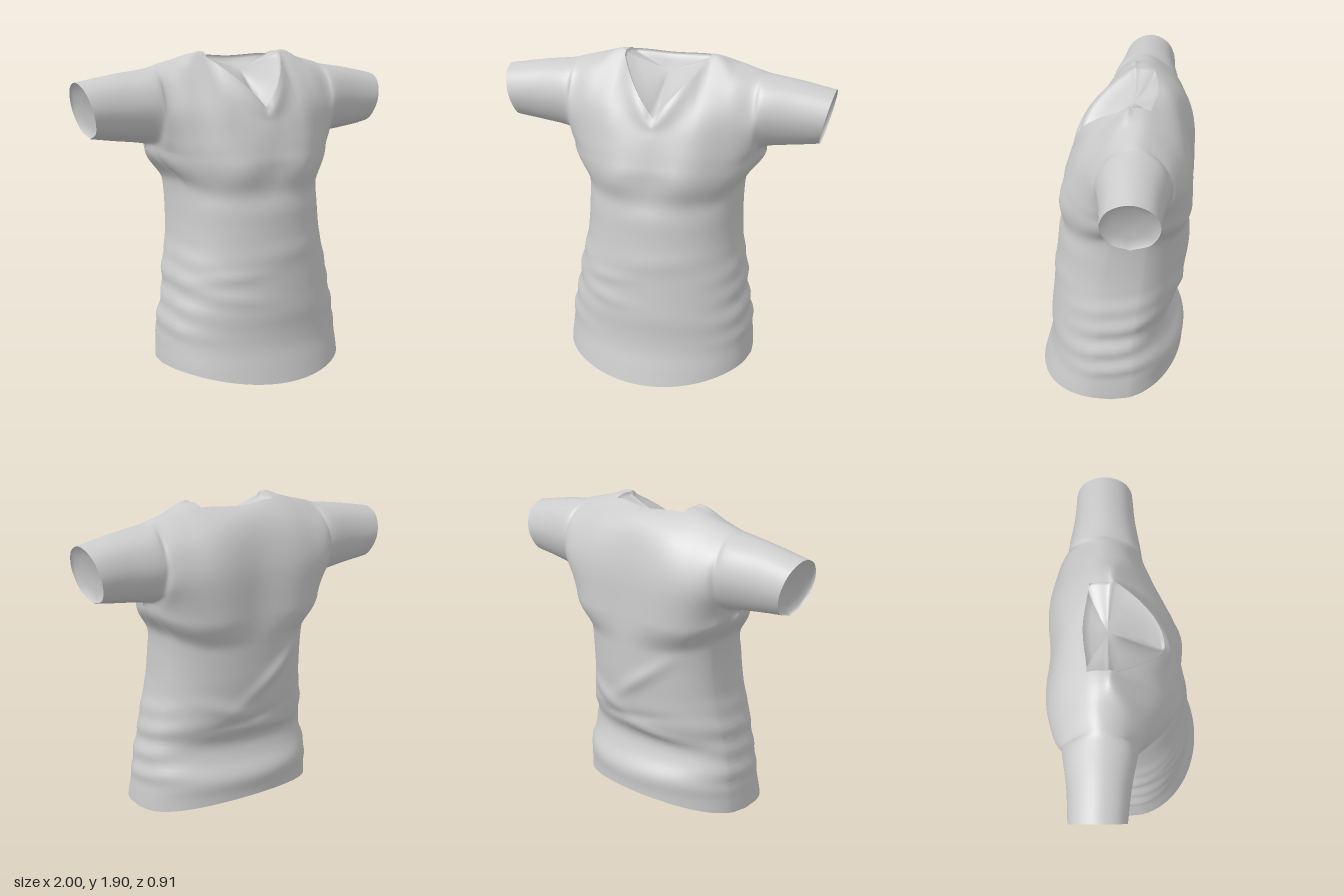
import * as THREE from 'three';
import { mergeVertices } from 'three/addons/utils/BufferGeometryUtils.js';

const { lerp, smoothstep, clamp } = THREE.MathUtils;
const SUB = 8;        // columns between two key sections
const ROWS = 5;       // rows between two points of a section
const TORSO_ROWS = 48;
const ARMPIT = 0.6;
const NECK_KEY = 1, ARMPIT_KEY = 4, CUFF_KEY = 6;

// Yoke sections from the middle outwards: x, then [z, y] from the front, over the shoulder, to the back.
// Points 3 and 5 are the front and back neckline.
const YOKE = [
  [0, [[.3, 1.28], [.275, 1.4], [.245, 1.5], [.2, 1.58], [-.05, 1.82], [-.24, 1.86], [-.36, 1.77], [-.43, 1.55], [-.445, 1.28]]],
  [.25, [[.255, 1.28], [.24, 1.42], [.16, 1.62], [-.05, 1.865], [-.11, 1.887], [-.21, 1.87], [-.36, 1.75], [-.44, 1.55], [-.45, 1.28]]],
  [.42, [[.16, 1.29], [.155, 1.4], [.115, 1.6], [0, 1.785], [-.12, 1.848], [-.22, 1.825], [-.35, 1.7], [-.415, 1.52], [-.39, 1.29]]],
  [.54, [[.03, 1.33], [.07, 1.41], [.08, 1.56], [0, 1.74], [-.12, 1.818], [-.22, 1.785], [-.335, 1.67], [-.365, 1.5], [-.27, 1.335]]],
];

// Oval sleeve section that starts and ends underneath
function oval(x, y, rz, ry) {
  const points = [];
  for (let j = 0; j <= 8; j++) {
    const t = j * Math.PI / 4;
    points.push([-.135 + rz * Math.sin(t), y - ry * Math.cos(t)]);
  }
  return [x, points];
}
const SECTIONS = [...YOKE, oval(ARMPIT, 1.587, .202, .215), oval(.78, 1.587, .172, .19), oval(1, 1.576, .157, .16)];

// Torso half width, front z and back z at every 0.1 of height
const TORSO = new THREE.CatmullRomCurve3([
  [.572, .45, -.42], [.572, .425, -.42], [.565, .4, -.42], [.56, .39, -.425], [.545, .39, -.37],
  [.525, .38, -.345], [.515, .37, -.39], [.495, .36, -.41], [.475, .35, -.42], [.467, .34, -.43],
  [.465, .33, -.435], [.468, .305, -.44], [.482, .305, -.445], [.515, .305, -.45], [.59, .3, -.45],
].map(p => new THREE.Vector3(...p)), false, 'catmullrom');

const bump = (x, y, cx, cy, rx, ry) => Math.exp(-(((x - cx) / rx) ** 2) - ((y - cy) / ry) ** 2);

// Diagonal cloth ridge through (cx, cy) with a given slope
const ridge = (x, y, cx, cy, slope, length, width) =>
  bump(x, y - slope * (x - cx), cx, cy, length, width);

// Soft body forms and the slight lean of the garment
function finish(p, front) {
  const { x, y } = p;
  if (front) p.z += .035 * Math.max(0, bump(Math.abs(x), y, .2, 1.23, .13, .12) - .03);
  else p.z += .008 * bump(x, y, 0, 1.4, .13, .35);
  p.z += .018 * x - .012 * x * x;
  p.x += .025 * (1 - x * x);
  return p;
}

// Curves that run from cuff to cuff through the same point of every section
function makeRails() {
  const keys = [];
  for (let k = -CUFF_KEY; k <= CUFF_KEY; k++) keys.push([Math.sign(k), SECTIONS[Math.abs(k)]]);
  return SECTIONS[0][1].map((_, j) => new THREE.CatmullRomCurve3(keys.map(([side, [x, pts]]) => {
    const [z, y] = pts[j];
    const slant = x === 1 ? .25 * (1.736 - y) : 0;   // cuffs lean inwards below
    return new THREE.Vector3(side * (x - slant), y, z);
  }), false, 'catmullrom'));
}

// Shallow dish with a turned-in lip that fills an opening
function makeLining(name, rim, inward, material) {
  const n = rim.length;
  const centre = rim.reduce((sum, p) => sum.add(p), new THREE.Vector3()).divideScalar(n);
  const points = [], index = [];
  const rings = [[1, 0], [.97, .5], [.65, .8], [.3, 1], [0, 1]];
  rings.forEach(([scale, depth], k) => rim.forEach((p, i) => {
    points.push(centre.clone().lerp(p, scale).addScaledVector(inward, depth));
    const a = k * n + i, b = k * n + (i + 1) % n;
    if (k < rings.length - 1) index.push(a, b, b + n, a, b + n, a + n);
  }));
  let geometry = new THREE.BufferGeometry().setFromPoints(points);
  geometry.setIndex(index);
  geometry = mergeVertices(geometry, 1e-4);
  geometry.computeVertexNormals();
  const mesh = new THREE.Mesh(geometry, material);
  mesh.name = name;
  return mesh;
}

export function createModel() {
  const positions = [];
  const faces = { body: [], leftSleeve: [], rightSleeve: [] };
  const add = p => positions.push(p.x, p.y, p.z) / 3 - 1;
  const quad = (list, a, b, c, d) => list.push(a, b, c, a, c, d);

  // Yoke and sleeves: sections spanned over the shoulders
  const columns = 2 * CUFF_KEY * SUB, rows = 8 * ROWS;
  const rails = makeRails();
  const railAt = (j, key) => rails[j].getPoint((key + CUFF_KEY) / (2 * CUFF_KEY));
  const ends = [];
  const grid = [];
  for (let i = 0; i <= columns; i++) {
    const key = i / SUB - CUFF_KEY;
    const pts = rails.map((_, j) => railAt(j, key));
    const t = Math.abs(key) / NECK_KEY;
    if (t < 1) {                                       // edges of the V neck, bowed forwards
      pts[3].lerpVectors(railAt(3, 0), railAt(3, Math.sign(key) * NECK_KEY), t);
      pts[3].z += .24 * t * (1 - t);
    }
    if (Math.abs(key) >= ARMPIT_KEY) {                 // close the sleeve underneath
      pts[0].lerp(pts[8], .5);
      pts[8].copy(pts[0]);
    }
    ends.push([pts[0], pts[8]]);
    const section = new THREE.CatmullRomCurve3(pts, false, 'catmullrom');
    grid.push([]);
    for (let j = 0; j <= rows; j++) grid[i].push(add(finish(section.getPoint(j / rows), j < rows / 2)));
  }
  for (let i = 0; i < columns; i++) {
    const key = (i + .5) / SUB - CUFF_KEY;
    const part = key > ARMPIT_KEY ? 'leftSleeve' : key < -ARMPIT_KEY ? 'rightSleeve' : 'body';
    for (let j = 0; j < rows; j++) {
      const inNeck = Math.abs(key) < NECK_KEY && j >= 3 * ROWS && j < 5 * ROWS;
      if (!inNeck) quad(faces[part], grid[i][j], grid[i + 1][j], grid[i + 1][j + 1], grid[i][j + 1]);
    }
  }

  // Torso: front and back hang from the yoke down to the hem
  const first = (CUFF_KEY - ARMPIT_KEY) * SUB, last = columns - first;
  const hems = [];
  for (const front of [true, false]) {
    const panel = [];
    for (let i = first; i <= last; i++) {
      const top = ends[i][front ? 0 : 1];
      const s = i === first ? -1 : i === last ? 1 : clamp(top.x / ARMPIT, -1, 1);
      const c = Math.sqrt(1 - s * s);
      const hem = front ? .085 * (1 - c * c) : .085 + .085 * c ** 1.5;
      const column = [];
      for (let r = 0; r <= TORSO_ROWS; r++) {
        const v = r / TORSO_ROWS;
        const y = lerp(top.y, hem, v);
        const shape = TORSO.getPoint(y / 1.4);
        let x = shape.x * s;
        let z = lerp(-.1 * y, front ? shape.y : shape.z, c ** .88);

        // Gathers at the sides, soft rolls on the front, diagonal folds on the back
        const gather = smoothstep(y, .18, .3) * (1 - smoothstep(y, .5, .9));
        x += s ** 3 * .007 * gather * Math.sin(y * 46 + z * 9 + s);
        if (front) {
          z += c * (.014 * ridge(x, y, -.32, .5, -.1, .2, .035) + .012 * ridge(x, y, -.3, .62, .05, .18, .03)
            + .008 * ridge(x, y, .1, .75, .1, .4, .06));
        } else {
          z -= c * (.02 * ridge(x, y, -.12, .92, -.7, .2, .05) + .016 * ridge(x, y, .2, .72, .35, .2, .045)
            + .016 * ridge(x, y, -.2, .56, .15, .25, .03) - .012 * ridge(x, y, .05, .64, -.15, .3, .03));
        }

        const w = smoothstep(v, 0, .17);               // ease out of the yoke's lower edge
        const p = new THREE.Vector3(lerp(top.x, x, w), y, lerp(top.z, z, w));
        column.push(add(finish(p, front)));
      }
      panel.push(column);
    }
    for (let i = 0; i < panel.length - 1; i++) {
      for (let r = 0; r < TORSO_ROWS; r++) {
        const a = panel[i][r + 1], b = panel[i + 1][r + 1], c = panel[i + 1][r], d = panel[i][r];
        if (front) quad(faces.body, a, b, c, d);
        else quad(faces.body, b, a, d, c);
      }
    }
    hems.push(panel.map(column => column[TORSO_ROWS]));
  }

  // Weld the seams so shading runs smoothly across all parts
  let whole = new THREE.BufferGeometry();
  whole.setAttribute('position', new THREE.Float32BufferAttribute(positions, 3));
  whole.setIndex(Object.values(faces).flat());
  whole = mergeVertices(whole, 1e-4);
  whole.computeVertexNormals();

  const material = new THREE.MeshStandardMaterial({ color: 0xcccccc, side: THREE.DoubleSide });
  const shirt = new THREE.Group();
  shirt.name = 'shirt';
  let start = 0;
  for (const [name, list] of Object.entries(faces)) {
    const geometry = new THREE.BufferGeometry();
    geometry.setAttribute('position', whole.attributes.position);
    geometry.setAttribute('normal', whole.attributes.normal);
    geometry.setIndex(Array.from(whole.index.array.slice(start, start + list.length)));
    start += list.length;
    const mesh = new THREE.Mesh(geometry, material);
    mesh.name = name;
    shirt.add(mesh);
  }

  // Linings close the neck, the hem and both cuffs
  const neckA = (CUFF_KEY - NECK_KEY) * SUB, neckB = (CUFF_KEY + NECK_KEY) * SUB;
  const neck = grid.slice(neckA, neckB).map(column => column[3 * ROWS])
    .concat(grid[neckB].slice(3 * ROWS, 5 * ROWS),
      grid.slice(neckA + 1, neckB + 1).map(column => column[5 * ROWS]).reverse(),
      grid[neckA].slice(3 * ROWS + 1, 5 * ROWS + 1).reverse());
  const hem = hems[0].slice(0, -1).concat(hems[1].slice(1).reverse());
  const line = (name, loop, ...inward) => shirt.add(makeLining(name,
    loop.map(i => new THREE.Vector3().fromArray(positions, 3 * i)), new THREE.Vector3(...inward), material));
  line('neckLining', neck, 0, -.04, -.025);
  line('hemLining', hem, 0, .04, 0);
  line('leftCuffLining', grid[columns].slice(0, -1), -.04, 0, 0);
  line('rightCuffLining', grid[0].slice(0, -1).reverse(), .04, 0, 0);
  return shirt;
}
